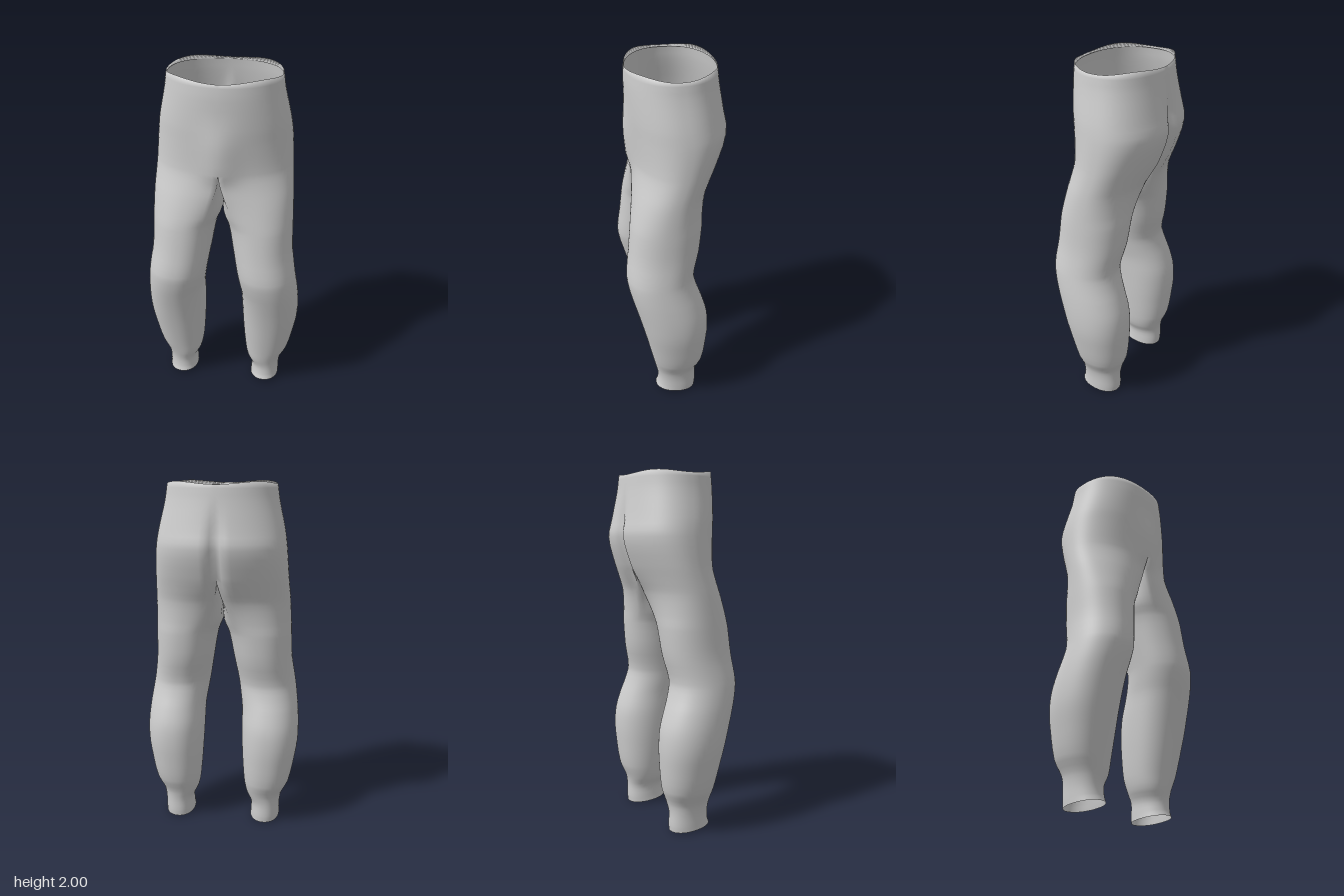
import * as THREE from 'three';
import { mergeVertices } from 'three/addons/utils/BufferGeometryUtils.js';

// Left half sections: height, inner x, outer x, front z, back z
const SECTIONS = [
  [0.0, 0.175, 0.35, 0.135, -0.105],
  [0.04, 0.178, 0.35, 0.125, -0.108],
  [0.11, 0.178, 0.352, 0.122, -0.107],
  [0.17, 0.15, 0.364, 0.135, -0.117],
  [0.25, 0.135, 0.403, 0.152, -0.147],
  [0.4, 0.123, 0.435, 0.185, -0.165],
  [0.5, 0.118, 0.45, 0.208, -0.17],
  [0.6, 0.115, 0.452, 0.233, -0.162],
  [0.7, 0.112, 0.445, 0.26, -0.132],
  [0.78, 0.1, 0.435, 0.28, -0.103],
  [0.86, 0.087, 0.423, 0.291, -0.087],
  [1.0, 0.062, 0.402, 0.275, -0.118],
  [1.15, 0.034, 0.396, 0.259, -0.135],
  [1.23, 0.004, 0.393, 0.25, -0.142],
  [1.34, 0, 0.388, 0.238, -0.167],
  [1.42, 0, 0.382, 0.229, -0.207],
  [1.5, 0, 0.376, 0.222, -0.245],
  [1.65, 0, 0.365, 0.232, -0.291],
  [1.75, 0, 0.35, 0.24, -0.274],
  [1.9, 0, 0.316, 0.246, -0.247],
  [2.0, 0, 0.302, 0.24, -0.235],
];
const OUTER = 40, INNER = 16, RING = OUTER + INNER;
const CROTCH = 1.5, SPREAD = 0.6;
const { lerp, smoothstep } = THREE.MathUtils;
const signedPow = (v, p) => Math.sign(v) * Math.pow(Math.abs(v), p);

// Smooth curve through the sections
function sectionAt(y) {
  const last = SECTIONS.length - 1;
  let i = 0;
  while (i < last - 1 && y > SECTIONS[i + 1][0]) i++;
  const a = SECTIONS[i], b = SECTIONS[i + 1];
  const before = SECTIONS[Math.max(0, i - 1)], after = SECTIONS[Math.min(last, i + 2)];
  const h = b[0] - a[0], t = (y - a[0]) / h;
  return a.map((v, j) => {
    const m0 = (b[j] - before[j]) / (b[0] - before[0]) * h;
    const m1 = (after[j] - v) / (after[0] - a[0]) * h;
    const s = t * t * (3 - 2 * t);
    return lerp(v, b[j], s) + m0 * t * (1 - t) ** 2 - m1 * t * t * (1 - t);
  });
}

// Point k of the ring at a height: front, around the outside, back, then the inner thigh
function ringPoint(k, rowY, inset) {
  const inner = k > OUTER;
  const u = inner ? (k - OUTER) / INNER : k / OUTER;
  // the inner thigh stops at the crotch seam
  const seamY = CROTCH - 0.07 * Math.sqrt(Math.sin(Math.PI * u));
  const sewn = inner && rowY >= seamY;
  let y = sewn ? seamY : rowY;
  const [, xi, xo, zf, zb] = sectionAt(y);
  const w = smoothstep(y, 1.15, CROTCH);
  const cz = (zf + zb) / 2, rz = (zf - zb) / 2;

  // rounded leg
  const angle = inner
    ? Math.PI + SPREAD + u * (Math.PI - 2 * SPREAD)
    : -SPREAD + u * (Math.PI + 2 * SPREAD);
  const legX = (xi + xo) / 2 + (xo - xi) / 2 * signedPow(Math.sin(angle), 0.93);
  const legZ = cz + rz * signedPow(Math.cos(angle), 0.93);

  // half of the hips
  let hipX = 0, hipZ = lerp(zb, zf, u);
  if (!inner) {
    const c = Math.cos(Math.PI * u);
    hipX = u === 0 || u === 1 ? 0 : xo * Math.sin(Math.PI * u);
    hipZ = cz + rz * signedPow(c, c < 0 ? 0.85 : 0.95);
    if (c < 0) {
      // cleft between the buttocks
      const depth = 0.045 * smoothstep(y, 1.3, 1.48) * (1 - smoothstep(y, 1.6, 1.93));
      hipZ += depth * Math.exp(-((hipX / 0.03) ** 2));
    } else {
      // fullness at the fly
      const fullness = 0.027 * smoothstep(y, 1.4, 1.52) * (1 - smoothstep(y, 1.6, 1.85));
      hipZ += fullness * Math.exp(-((hipX / 0.1) ** 2));
    }
  }
  let x = lerp(legX, hipX, w) * inset;
  if (sewn) x = 0;
  else if (rowY < CROTCH) x = Math.max(0.004, x);
  const z = lerp(legZ, hipZ, w) * inset;

  // slanted ankle hem and uneven waist hem
  if (rowY < 0.11) y += (1 - rowY / 0.11) * (0.012 + 0.1 * z);
  if (rowY === 2) y -= 0.007 * (1 + Math.cos(4 * Math.PI * u));
  return [x, y, z];
}

function trousersGeometry() {
  const rows = [];
  SECTIONS.forEach(([y], i) => {
    rows.push([y, 1]);
    const next = SECTIONS[i + 1];
    if (next) for (let s = 1; s < 3; s++) rows.push([lerp(y, next[0], s / 3), 1]);
  });
  // hem turned in at the waist
  rows.push([1.975, 0.975]);

  const positions = [], index = [];
  for (const side of [1, -1]) {
    const base = positions.length / 3;
    for (const [y, inset] of rows) {
      for (let k = 0; k < RING; k++) {
        const [px, py, pz] = ringPoint(k, y, inset);
        positions.push(px * side, py, pz);
      }
    }
    for (let r = 0; r < rows.length - 1; r++) {
      // above the crotch only the outer part of each ring carries cloth
      const count = rows[r][0] >= CROTCH ? OUTER : RING;
      for (let k = 0; k < count; k++) {
        const k2 = (k + 1) % RING;
        const a = base + r * RING + k, b = base + r * RING + k2;
        const c = b + RING, d = a + RING;
        if (side > 0) index.push(a, b, c, a, c, d);
        else index.push(a, c, b, a, d, c);
      }
    }
  }
  let geometry = new THREE.BufferGeometry();
  geometry.setAttribute('position', new THREE.Float32BufferAttribute(positions, 3));
  geometry.setIndex(index);
  // sew the halves together and drop collapsed triangles
  geometry = mergeVertices(geometry, 1e-4);
  const kept = [], ids = geometry.index.array;
  for (let i = 0; i < ids.length; i += 3) {
    const [a, b, c] = [ids[i], ids[i + 1], ids[i + 2]];
    if (a !== b && b !== c && a !== c) kept.push(a, b, c);
  }
  geometry.setIndex(kept);
  geometry.computeVertexNormals();
  return geometry;
}

export function createModel() {
  const cloth = new THREE.MeshStandardMaterial({ color: 0xcccccc, side: THREE.DoubleSide });
  cloth.name = 'greyCloth';
  const trousers = new THREE.Mesh(trousersGeometry(), cloth);
  trousers.name = 'trousers';
  const group = new THREE.Group();
  group.name = 'trousersModel';
  group.add(trousers);
  return group;
}
